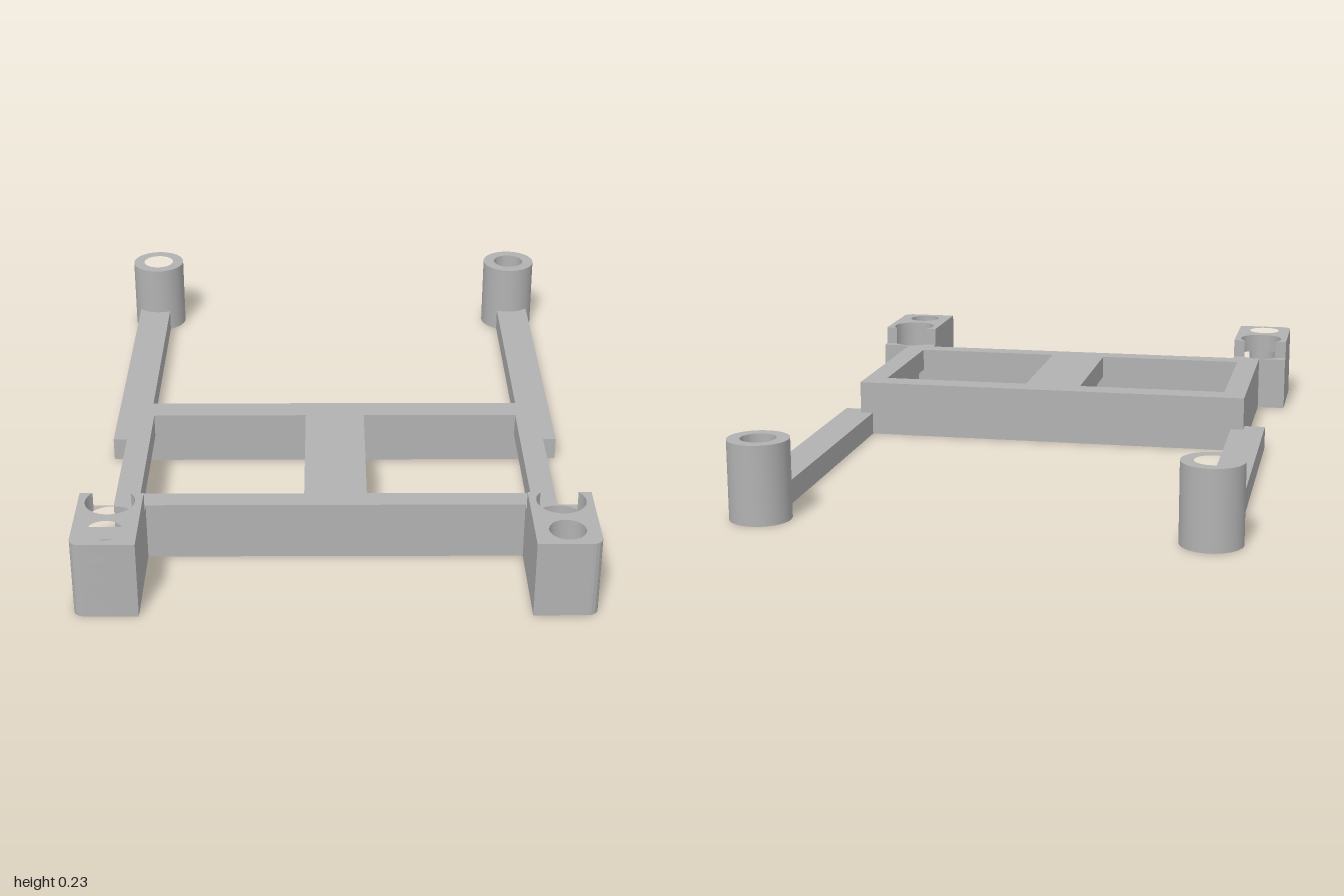
import * as THREE from 'three';
import { toCreasedNormals } from 'three/addons/utils/BufferGeometryUtils.js';

const grey = new THREE.MeshStandardMaterial({ color: 0xb2b2b2 });
grey.name = 'grey plastic';

// Plan shapes use x and v = -z
function rectangle(Type, x0, x1, z0, z1) {
  return new Type([[x0, -z1], [x1, -z1], [x1, -z0], [x0, -z0]].map(p => new THREE.Vector2(...p)));
}

function circle(Type, x, z, r) {
  const c = new Type();
  c.absarc(x, -z, r, 0, Math.PI * 2, false);
  return c;
}

// Flip a plan shape and its holes to the other side
function mirrorShape(shape) {
  const flip = path => path.getPoints(20).map(p => new THREE.Vector2(-p.x, p.y));
  const out = new THREE.Shape(flip(shape));
  out.holes = shape.holes.map(h => new THREE.Path(flip(h)));
  return out;
}

// Extrude a plan shape between two heights
function slab(name, shape, y0, y1) {
  const geo = new THREE.ExtrudeGeometry(shape, { depth: y1 - y0, bevelEnabled: false, curveSegments: 20 });
  geo.rotateX(-Math.PI / 2);
  geo.translate(0, y0, 0);
  const mesh = new THREE.Mesh(toCreasedNormals(geo, 0.6), grey);
  mesh.name = name;
  return mesh;
}

// Frame layer with two windows, widened by g
function frameShape(g) {
  const s = rectangle(THREE.Shape, -0.63, 0.63, 0.075, 0.695);
  for (const [a, b] of [[-0.56, -0.09], [0.09, 0.56]]) {
    s.holes.push(rectangle(THREE.Path, a - g, b + g, 0.155 - g, 0.63 + g));
  }
  return s;
}

const CX = 0.63, SCREW_Z = 0.77, PIN_Z = 0.925, BORE = 0.07;

// Mounting block outline with a rounded outer front corner
function blockShape(back, notched) {
  const s = new THREE.Shape();
  s.moveTo(0.54, -back);
  s.lineTo(0.54, -0.998);
  s.lineTo(0.69, -0.998);
  s.absarc(0.69, -0.968, 0.03, -Math.PI / 2, 0, false);
  s.lineTo(0.72, -back);
  if (notched) {
    const a = Math.asin((SCREW_Z - back) / BORE);
    s.absarc(CX, -SCREW_Z, BORE, a, -Math.PI - a, true);
  }
  s.lineTo(0.54, -back);
  s.holes.push(circle(THREE.Path, CX, PIN_Z, 0.051));
  return s;
}

export function createModel() {
  const model = new THREE.Group();
  model.name = 'mountingBracket';

  // Central frame, its windows wider on the underside
  const frame = new THREE.Group();
  frame.name = 'windowFrame';
  frame.add(slab('frameBase', frameShape(0.025), 0, 0.1), slab('frameTop', frameShape(0), 0.1, 0.172));
  model.add(frame);

  for (const side of [1, -1]) {
    const label = side > 0 ? 'left' : 'right';
    const plan = shape => (side > 0 ? shape : mirrorShape(shape));

    // Front block: screw hole, counterbore, then a top open at the back
    const block = new THREE.Group();
    block.name = label + 'FrontBlock';
    const base = blockShape(0.695, false);
    base.holes.push(circle(THREE.Path, CX, SCREW_Z, 0.041));
    const middle = blockShape(0.695, false);
    middle.holes.push(circle(THREE.Path, CX, SCREW_Z, BORE));
    block.add(
      slab('blockBase', plan(base), 0, 0.1),
      slab('blockBore', plan(middle), 0.1, 0.172),
      slab('blockTop', plan(blockShape(0.725, true)), 0.172, 0.23)
    );
    model.add(block);

    // Rear arm
    model.add(slab(label + 'Arm', plan(rectangle(THREE.Shape, 0.59, 0.695, -0.855, 0.125)), 0, 0.07));

    // Hollow rear post
    const post = circle(THREE.Shape, CX, -0.912, 0.088);
    post.holes.push(circle(THREE.Path, CX, -0.912, 0.051));
    model.add(slab(label + 'RearPost', plan(post), 0, 0.23));
  }
  return model;
}
